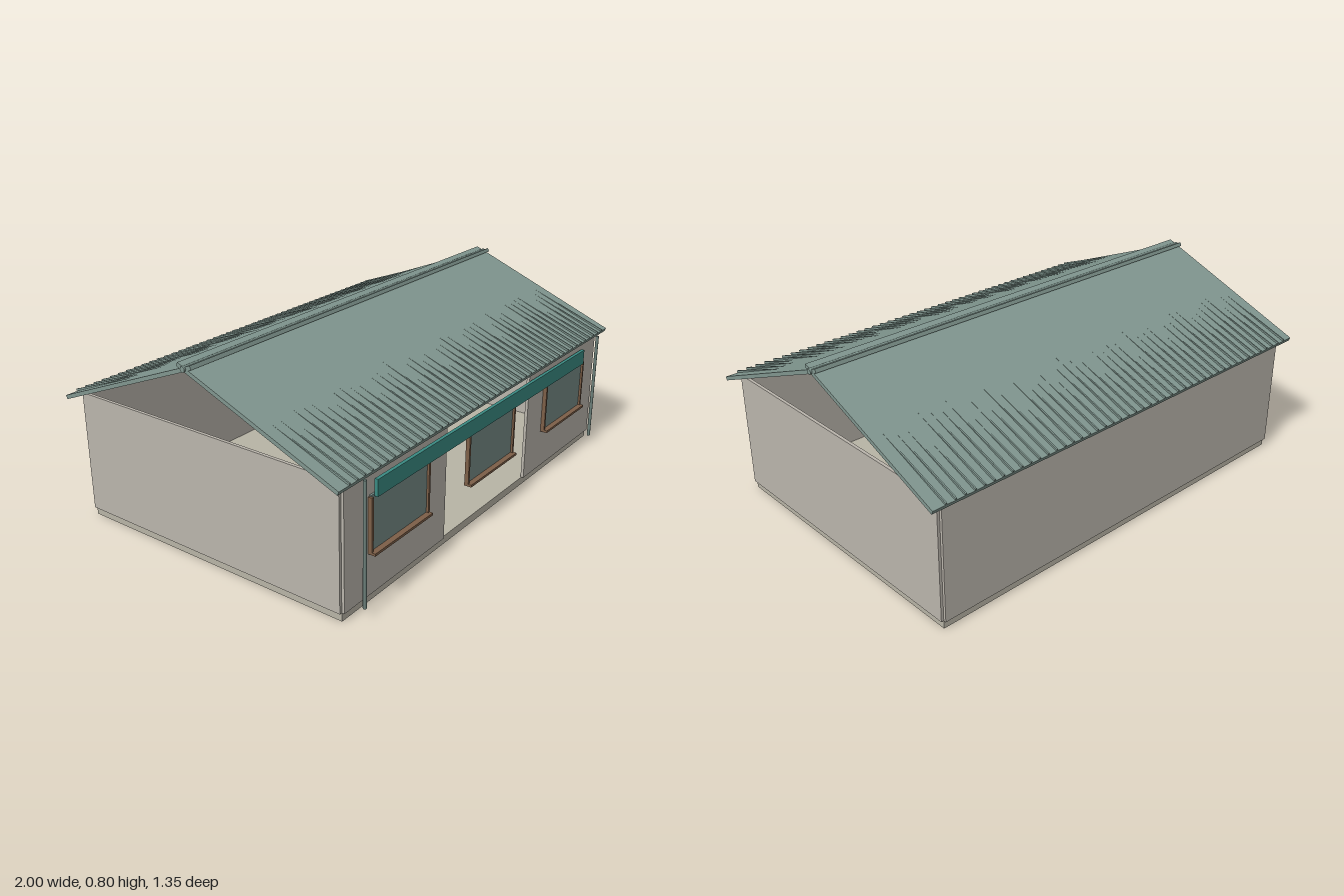
import * as THREE from 'three';

const mat = (name, color) => {
  const m = new THREE.MeshStandardMaterial({ color });
  m.name = name;
  return m;
};

export function createModel() {
  const model = new THREE.Group();
  model.name = 'house';
  const wall = mat('plaster', 0xbab5ac);
  const stone = mat('plinth stone', 0xb8b4a6);
  const roofing = mat('roof sheet', 0x80968f);
  const glass = mat('window glass', 0x758a86);
  const wood = mat('brown wood', 0x7d5f48);
  const teal = mat('teal board', 0x3a8a82);
  const metal = mat('pipe metal', 0x6c807a);

  // Box from its extents on each axis
  const box = (name, material, [x0, x1], [y0, y1], [z0, z1], parent = model) => {
    const mesh = new THREE.Mesh(new THREE.BoxGeometry(x1 - x0, y1 - y0, z1 - z0), material);
    mesh.position.set((x0 + x1) / 2, (y0 + y1) / 2, (z0 + z1) / 2);
    mesh.name = name;
    parent.add(mesh);
    return mesh;
  };

  // Floor slab and open-topped walls, with notched corners
  box('plinth', stone, [-0.935, 0.935], [0, 0.033], [-0.63, 0.618]);
  const wallY = [0.034, 0.533];
  box('backWall', wall, [-0.935, 0.935], wallY, [-0.641, -0.628]);
  for (const s of [-1, 1]) {
    const xs = (a, b) => (s > 0 ? [a, b] : [-b, -a]);
    box('sideWall', wall, xs(0.933, 0.946), wallY, [-0.63, 0.617]);
    // The front is open between its two panels
    box('frontWall', wall, xs(0.315, 0.935), wallY, [0.615, 0.628]);
    const pipe = new THREE.Mesh(new THREE.CylinderGeometry(0.007, 0.007, 0.485, 12), metal);
    pipe.position.set(s * 0.873, 0.282, 0.667);
    pipe.name = 'downpipe';
    model.add(pipe);
  }

  // Three windows with side frames and sills
  for (const x of [-0.625, 0, 0.625]) {
    const win = new THREE.Group();
    win.name = 'window';
    win.position.x = x;
    model.add(win);
    box('pane', glass, [-0.17, 0.17], [0.21, 0.425], [0.628, 0.636], win);
    for (const s of [-1, 1]) {
      box('windowFrame', wood, [s * 0.173 - 0.005, s * 0.173 + 0.005], [0.21, 0.42], [0.628, 0.645], win);
    }
    box('sill', wood, [-0.178, 0.178], [0.203, 0.213], [0.626, 0.659], win);
  }

  // Long board over the windows
  box('fasciaBoard', teal, [-0.78, 0.78], [0.418, 0.483], [0.638, 0.652]);

  // Roof slopes crossing at the ridge, with ribs rising out of the lower half
  const slope = 0.381;
  const ridgeZ = -0.008;
  const jitter = (i) => {
    const v = Math.sin(i * 12.9898 + 4.1) * 43758.5453;
    return v - Math.floor(v);
  };
  for (const s of [1, -1]) {
    const side = new THREE.Group();
    side.name = 'roofSlope';
    side.position.set(0, 0.784, ridgeZ);
    side.rotation.y = s > 0 ? 0 : Math.PI;
    model.add(side);
    const tilt = new THREE.Group();
    tilt.rotation.x = slope;
    side.add(tilt);
    box('roofPanel', roofing, [-0.993, 0.993], [-0.008, 0.008], [-0.035, 0.71], tilt);
    for (let i = 0; i < 46; i++) {
      const length = 0.31 + 0.08 * jitter(i) - (i % 5 === 2 ? 0.09 : 0);
      const rib = new THREE.Group();
      rib.position.set((i - 22.5) * 0.0417 * s, 0.004, 0.71 - length);
      rib.rotation.x = -0.009 / length;
      tilt.add(rib);
      box('roofRib', roofing, [-0.003, 0.003], [-0.004, 0.004], [0, length], rib);
    }
  }
  const ridge = new THREE.Mesh(new THREE.CylinderGeometry(0.011, 0.011, 2, 12), roofing);
  ridge.rotation.z = Math.PI / 2;
  ridge.position.set(0, 0.786, ridgeZ);
  ridge.name = 'ridgePole';
  model.add(ridge);

  return model;
}
